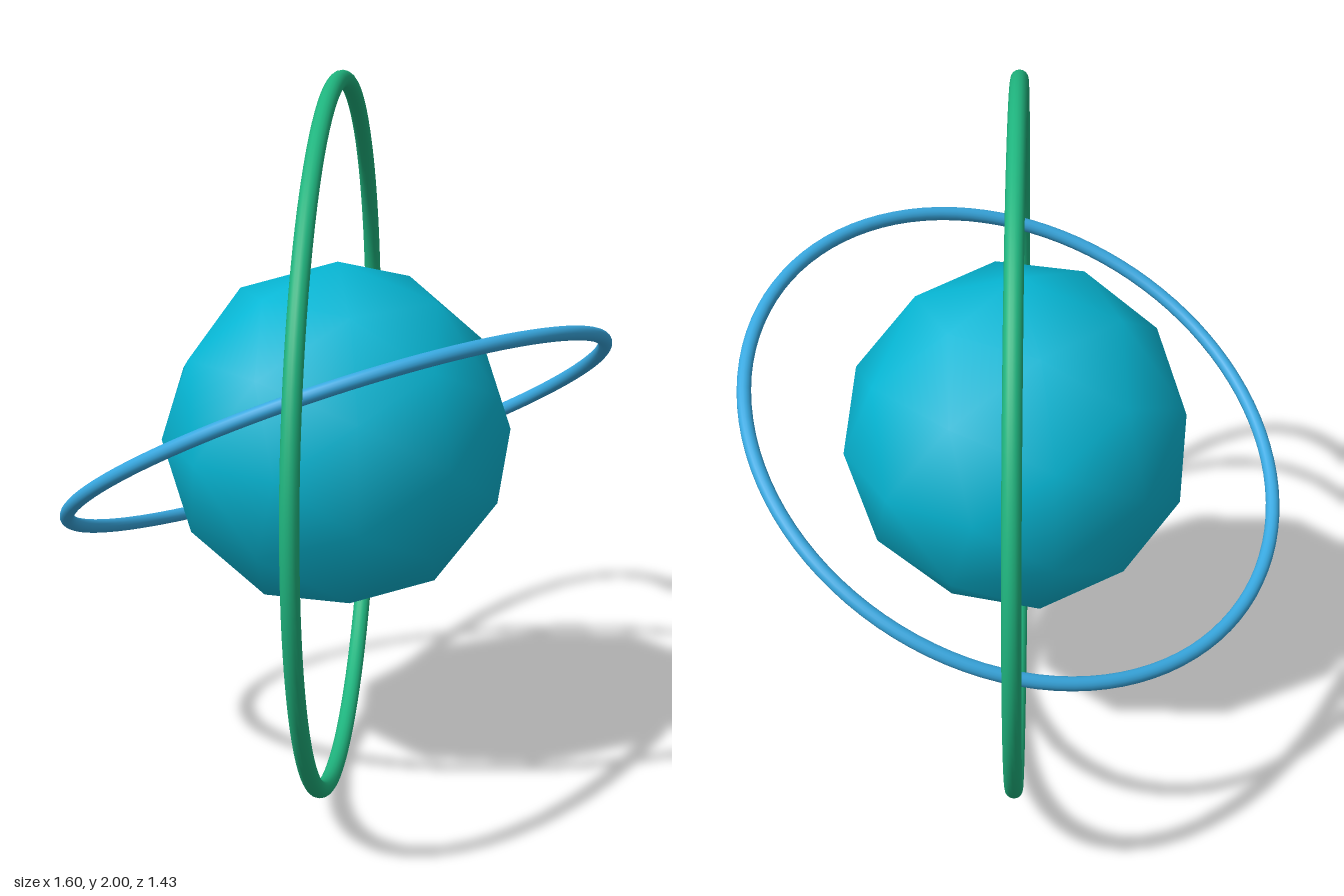
import * as THREE from 'three';

const material = (name, color) => {
  const m = new THREE.MeshStandardMaterial({ color });
  m.name = name;
  return m;
};

export function createModel() {
  const model = new THREE.Group();
  model.name = 'ringedSphere';
  const r = 0.4878; // core radius; the rings are sized from it

  const add = (name, geometry, mat) => {
    const mesh = new THREE.Mesh(geometry, mat);
    mesh.name = name;
    mesh.position.y = 1;
    model.add(mesh);
    return mesh;
  };

  // Faceted outline with smooth shading
  add('core', new THREE.IcosahedronGeometry(r, 1), material('cyan', 0x06b6d4));

  // Inner ring, tilted up towards the front
  const inner = add('innerRing', new THREE.TorusGeometry(r * 1.6, r * 0.04, 16, 100), material('blue', 0x38a8e0));
  inner.rotation.x = Math.PI / 3;

  // Outer ring, upright and turned diagonally
  const outer = add('outerRing', new THREE.TorusGeometry(r * 2, r * 0.05, 16, 100), material('green', 0x1fb47e));
  outer.rotation.y = Math.PI / 4;

  return model;
}
